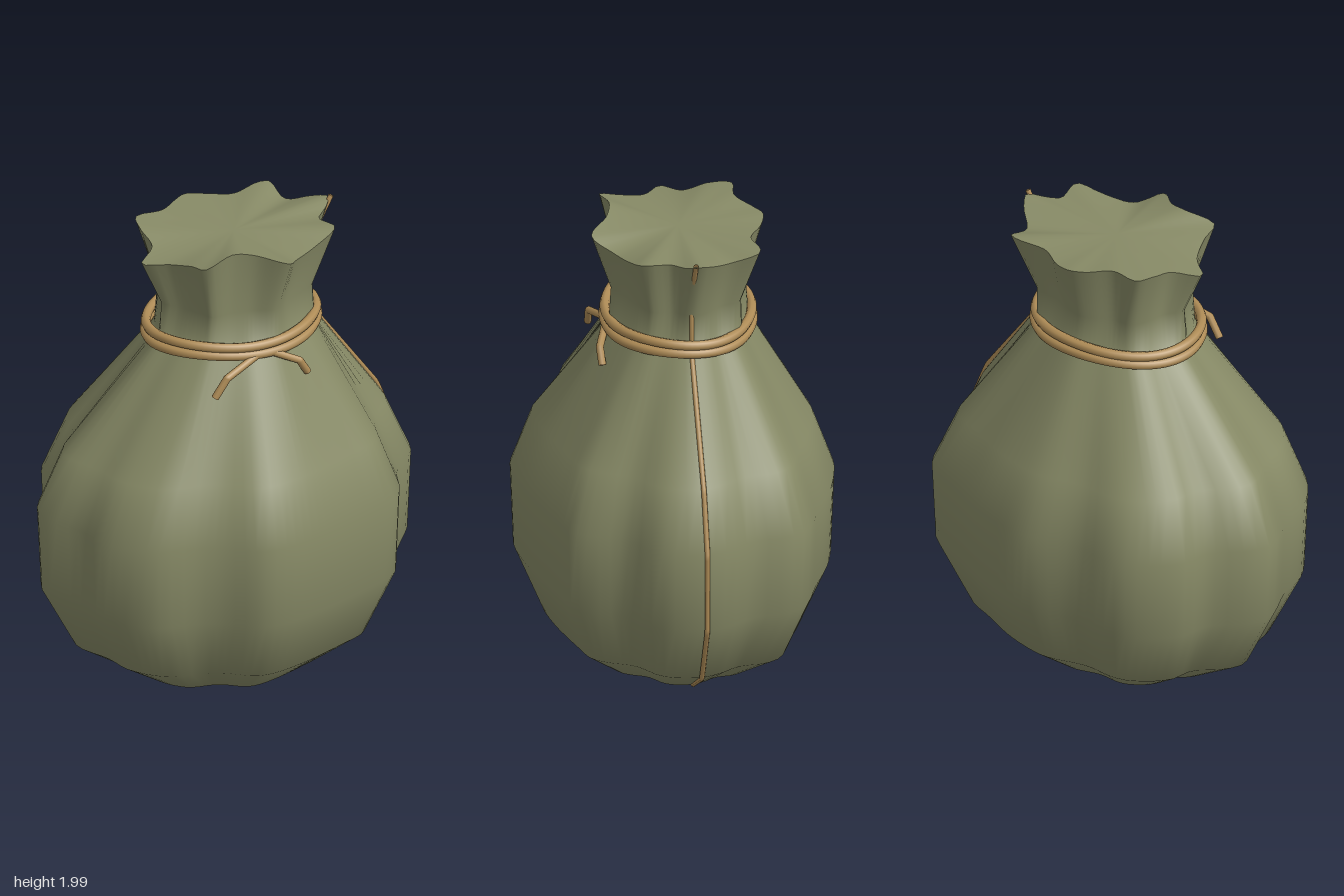
import * as THREE from 'three';

const SEGMENTS = 96;

// Closed outline -> lookup of radius and height by angle around a centre
function polarOutline(points, cx, cz) {
  const curve = new THREE.CatmullRomCurve3(
    points.map(([x, z, y = 0]) => new THREE.Vector3(x - cx, y, z - cz)), true);
  const samples = curve.getPoints(1200).map((p) => ({
    a: Math.atan2(p.z, p.x), r: Math.hypot(p.x, p.z), y: p.y,
  }));
  return (angle) => {
    let best = samples[0], gap = Infinity;
    for (const s of samples) {
      const d = 1 - Math.cos(s.a - angle);
      if (d < gap) { gap = d; best = s; }
    }
    return best;
  };
}

// Widest belly outline: [x, z]
const belly = polarOutline([
  [0.82, -0.03], [0.78, 0.16], [0.64, 0.29], [0.58, 0.42], [0.52, 0.5], [0.38, 0.55],
  [0.11, 0.63], [-0.09, 0.66], [-0.19, 0.64], [-0.31, 0.54], [-0.4, 0.49], [-0.59, 0.43],
  [-0.73, 0.26], [-0.76, 0.11], [-0.835, -0.1], [-0.79, -0.19], [-0.67, -0.31], [-0.63, -0.45],
  [-0.44, -0.6], [-0.2, -0.61], [0, -0.665], [0.09, -0.665], [0.29, -0.62], [0.47, -0.545],
  [0.66, -0.465], [0.71, -0.38], [0.725, -0.245], [0.79, -0.13],
], 0, 0);

// Fluted mouth outline: [x, z, y]
const NECK = { x: 0.04, z: -0.02 };
const mouth = polarOutline([
  [0.5, -0.04, 1.98], [0.46, 0.01, 1.96], [0.4, 0.06, 1.95], [0.41, 0.18, 1.96], [0.315, 0.22, 1.93],
  [0.18, 0.27, 1.91], [0.09, 0.35, 1.95], [-0.02, 0.27, 1.98], [-0.11, 0.245, 1.995],
  [-0.25, 0.265, 1.97], [-0.265, 0.18, 1.95], [-0.31, 0.07, 1.92], [-0.4, -0.01, 1.91],
  [-0.305, -0.09, 1.93], [-0.3, -0.2, 1.96], [-0.27, -0.29, 1.97], [-0.15, -0.285, 1.97],
  [-0.055, -0.35, 1.96], [0.01, -0.38, 1.96], [0.09, -0.36, 1.95], [0.2, -0.3, 1.95],
  [0.31, -0.32, 1.96], [0.37, -0.31, 1.96], [0.38, -0.19, 1.93], [0.46, -0.11, 1.96],
], NECK.x, NECK.z);

// Ring builders: each returns a point for an angle
const bellyRing = (y, scale) => (a) => {
  const r = belly(a).r * scale;
  return [Math.cos(a) * r, y, Math.sin(a) * r];
};
const neckRing = (y, rx, rz, flute) => (a) => {
  const oval = 1 / Math.hypot(Math.cos(a) / rx, Math.sin(a) / rz);
  const r = THREE.MathUtils.lerp(oval, mouth(a).r * 0.78, flute);
  return [NECK.x + Math.cos(a) * r, y, NECK.z + Math.sin(a) * r];
};
const mouthRing = (a) => {
  const m = mouth(a);
  return [NECK.x + Math.cos(a) * m.r, m.y, NECK.z + Math.sin(a) * m.r];
};

function makeGeometry(positions, indices) {
  const g = new THREE.BufferGeometry();
  g.setAttribute('position', new THREE.Float32BufferAttribute(positions, 3));
  g.setIndex(indices);
  g.computeVertexNormals();
  return g;
}

const angleOf = (j) => (j / SEGMENTS) * Math.PI * 2;

// Skin between stacked rings, bottom to top
function loft(rings) {
  const positions = [], indices = [];
  rings.forEach((ring, i) => {
    for (let j = 0; j < SEGMENTS; j++) {
      positions.push(...ring(angleOf(j)));
      if (i === rings.length - 1) continue;
      const k = (j + 1) % SEGMENTS, a = i * SEGMENTS, b = a + SEGMENTS;
      indices.push(a + j, b + j, a + k, a + k, b + j, b + k);
    }
  });
  return makeGeometry(positions, indices);
}

// Fan closing a ring
function cap(ring, centre, up) {
  const positions = [...centre], indices = [];
  for (let j = 0; j < SEGMENTS; j++) {
    positions.push(...ring(angleOf(j)));
    const a = j + 1, b = ((j + 1) % SEGMENTS) + 1;
    indices.push(0, up ? b : a, up ? a : b);
  }
  return makeGeometry(positions, indices);
}

// Cord with sharp bends
function cord(points, radius) {
  const path = new THREE.CurvePath();
  const v = points.map((p) => new THREE.Vector3(...p));
  for (let i = 1; i < v.length; i++) path.add(new THREE.LineCurve3(v[i - 1], v[i]));
  return new THREE.TubeGeometry(path, 100, radius, 8, false);
}

// Slightly wavy loop around the neck
function neckLoop(y, grow, phase) {
  const points = [];
  for (let i = 0; i < 32; i++) {
    const a = (i / 32) * Math.PI * 2;
    points.push(new THREE.Vector3(
      0.03 + Math.cos(a) * (0.366 + grow),
      y + 0.008 * Math.sin(3 * a + phase),
      -0.022 + Math.sin(a) * (0.302 + grow)));
  }
  return new THREE.TubeGeometry(new THREE.CatmullRomCurve3(points, true), 96, 0.021, 8, true);
}

export function createModel() {
  const group = new THREE.Group();
  const cloth = new THREE.MeshStandardMaterial({ color: 0x878a66 });
  cloth.name = 'olive cloth';
  const rope = new THREE.MeshStandardMaterial({ color: 0xb08d57, side: THREE.DoubleSide });
  rope.name = 'tan rope';

  const add = (name, geometry, material) => {
    const mesh = new THREE.Mesh(geometry, material);
    mesh.name = name;
    group.add(mesh);
  };

  // Sack
  const base = bellyRing(0.012, 0.52);
  add('sackBody', loft([
    base,
    bellyRing(0.16, 0.8),
    bellyRing(0.45, 0.98),
    bellyRing(0.81, 1),
    bellyRing(1.06, 0.865),
    neckRing(1.52, 0.355, 0.3, 0.3),
    neckRing(1.7, 0.34, 0.285, 0.6),
    mouthRing,
  ]), cloth);
  add('sackBottom', cap(base, [0, 0.012, 0], false), cloth);
  add('sackMouth', cap(mouthRing, [NECK.x, 1.95, NECK.z], true), cloth);

  // Neck tie and its two loose ends
  add('upperTie', neckLoop(1.568, 0, 0), rope);
  add('lowerTie', neckLoop(1.528, 0.004, 0.6), rope);
  add('rightTieEnd', cord([[-0.02, 1.52, 0.285], [-0.18, 1.47, 0.32], [-0.235, 1.39, 0.315]], 0.016), rope);
  add('leftTieEnd', cord([[0.05, 1.52, 0.285], [0.16, 1.47, 0.325], [0.2, 1.405, 0.32]], 0.016), rope);

  // Seam cord up the left side
  const seam = [[0.425, 0.012], [0.665, 0.16], [0.815, 0.45], [0.82, 0.81], [0.72, 1.06],
    [0.39, 1.52], [0.378, 1.76], [0.505, 1.99]];
  add('seamCord', cord(seam.map(([x, y]) => [x, y, -0.025]), 0.011), rope);

  return group;
}
